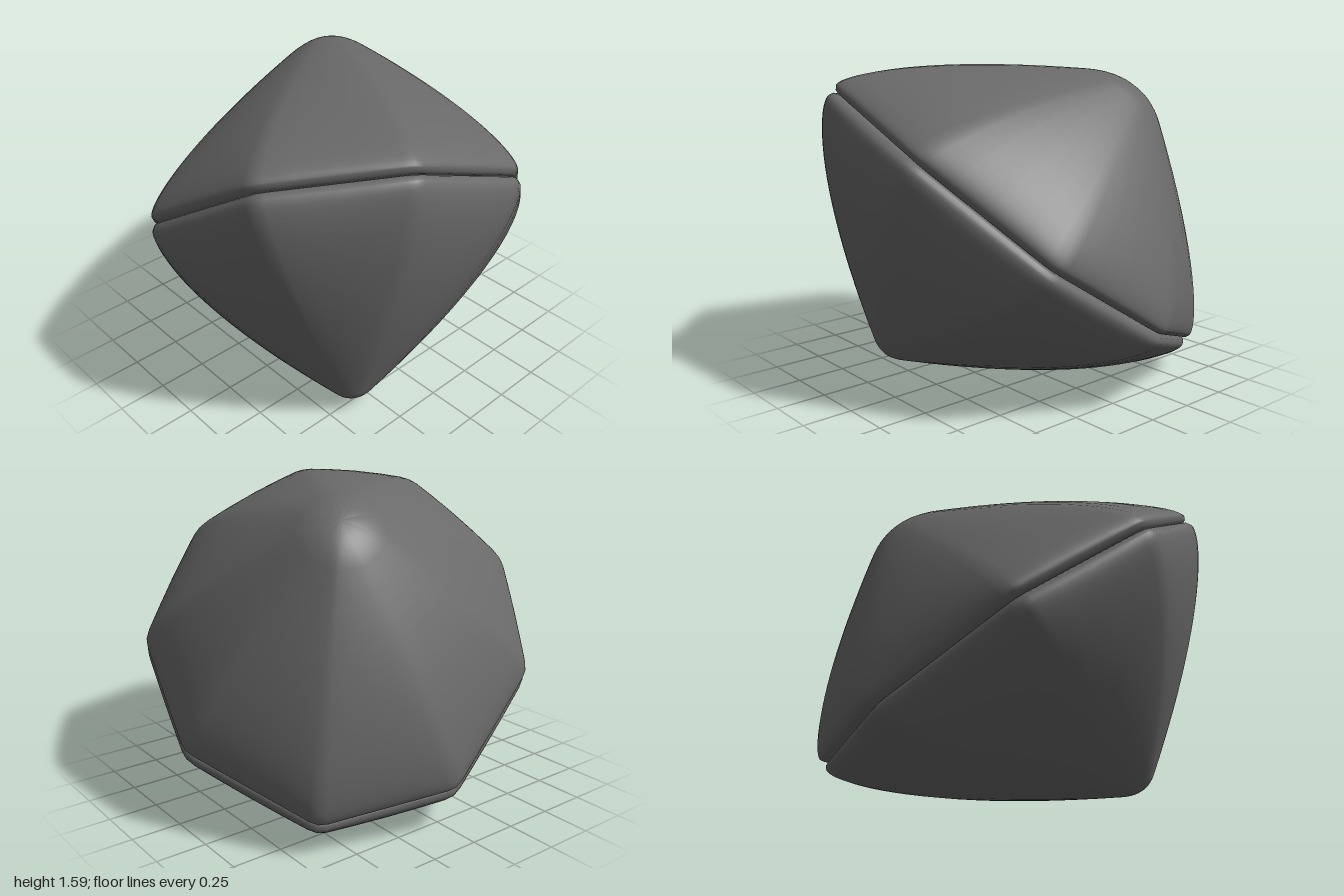
import * as THREE from 'three';

const V = (x, y, z) => new THREE.Vector3(x, y, z);

// Corners of the nine-sided seam, counter-clockwise from above
const corners = [
  V(0.36, 1.21, 0.865), V(0.87, 0.76, 0.52), V(0.985, 0.38, -0.06),
  V(0.66, 0.14, -0.67), V(0.02, 0.22, -0.89), V(-0.65, 0.6, -0.69),
  V(-0.985, 1.04, -0.18), V(-0.86, 1.42, 0.43), V(-0.33, 1.48, 0.845),
];
const center = V(0, 0.8, 0);
const axis = V(0.288, 0.82, -0.493).normalize();
const sideSteps = [0.07, 0.25, 0.5, 0.75, 0.93];

// Seam outline with slightly rounded corners; belly is 0 at a corner, 1 mid-side
function seamLoop() {
  const n = corners.length, loop = [];
  corners.forEach((p, k) => {
    const prev = corners[(k + n - 1) % n], next = corners[(k + 1) % n];
    const rounded = p.clone().lerp(prev.clone().lerp(next, 0.5), 0.03);
    loop.push({ p: rounded, belly: 0 });
    for (const f of sideSteps) loop.push({ p: p.clone().lerp(next, f), belly: 4 * f * (1 - f) });
  });
  return loop;
}

// One half: rolled rim, bulging flanks, rounded tip
function shellHalf(name, side, apex, bulge, belly, soft) {
  const seam = seamLoop(), count = seam.length;
  const rimPoint = (p, scale, lift) =>
    center.clone().lerp(p, scale).addScaledVector(axis, side * lift);

  // Flank curve, fullest a third of the way from rim to apex
  const flank = (s, t) => {
    const p = rimPoint(s.p, 1, 0.025);
    const along = apex.clone().sub(p).normalize();
    const out = p.clone().lerp(apex, 0.5).sub(center);
    out.addScaledVector(along, -out.dot(along)).normalize();
    const amount = (bulge + belly * s.belly) * 2.8 * t ** 0.55 * (1 - t) ** 1.05;
    return p.lerp(apex, t).addScaledVector(out, amount);
  };

  const rows = [[0.955, 0], [0.978, 0.003], [0.992, 0.01]]
    .map(([scale, lift]) => seam.map((s) => rimPoint(s.p, scale, lift)));
  const flankSteps = 22, tipSteps = 8;
  for (let j = 0; j <= flankSteps; j++) {
    const t = (1 - soft) * (j / flankSteps) ** 1.9;
    rows.push(seam.map((s) => flank(s, t)));
  }

  // Tip: every flank curves over into one shared point
  const edge = rows[rows.length - 1];
  const controls = edge.map((p) => p.clone().lerp(apex, 0.5));
  const tip = V(0, 0, 0);
  controls.forEach((p) => tip.addScaledVector(p, 1 / count));
  for (let j = 1; j < tipSteps; j++) {
    const w = j / tipSteps;
    rows.push(edge.map((p, i) => p.clone().multiplyScalar((1 - w) ** 2)
      .addScaledVector(controls[i], 2 * w * (1 - w)).addScaledVector(tip, w * w)));
  }

  const points = [...rows.flat(), tip];
  const index = [];
  const face = (a, b, c) => (side > 0 ? index.push(a, b, c) : index.push(a, c, b));
  rows.forEach((row, j) => {
    for (let i = 0; i < count; i++) {
      const a = j * count + i, b = j * count + (i + 1) % count;
      if (j === rows.length - 1) {
        face(a, b, points.length - 1);
      } else {
        face(a, b, a + count);
        face(b, b + count, a + count);
      }
    }
  });

  const geometry = new THREE.BufferGeometry().setFromPoints(points);
  geometry.setIndex(index);
  geometry.computeVertexNormals();
  const mesh = new THREE.Mesh(geometry, new THREE.MeshStandardMaterial({ color: 0x696969 }));
  mesh.name = name;
  return mesh;
}

export function createModel() {
  const group = new THREE.Group();
  group.name = 'facetedShell';
  group.add(
    shellHalf('upperShell', 1, V(0.425, 1.54, -0.535), 0.073, 0.015, 0.19),
    shellHalf('lowerShell', -1, V(-0.395, 0.045, 0.57), 0.092, 0.015, 0.08),
  );
  return group;
}
